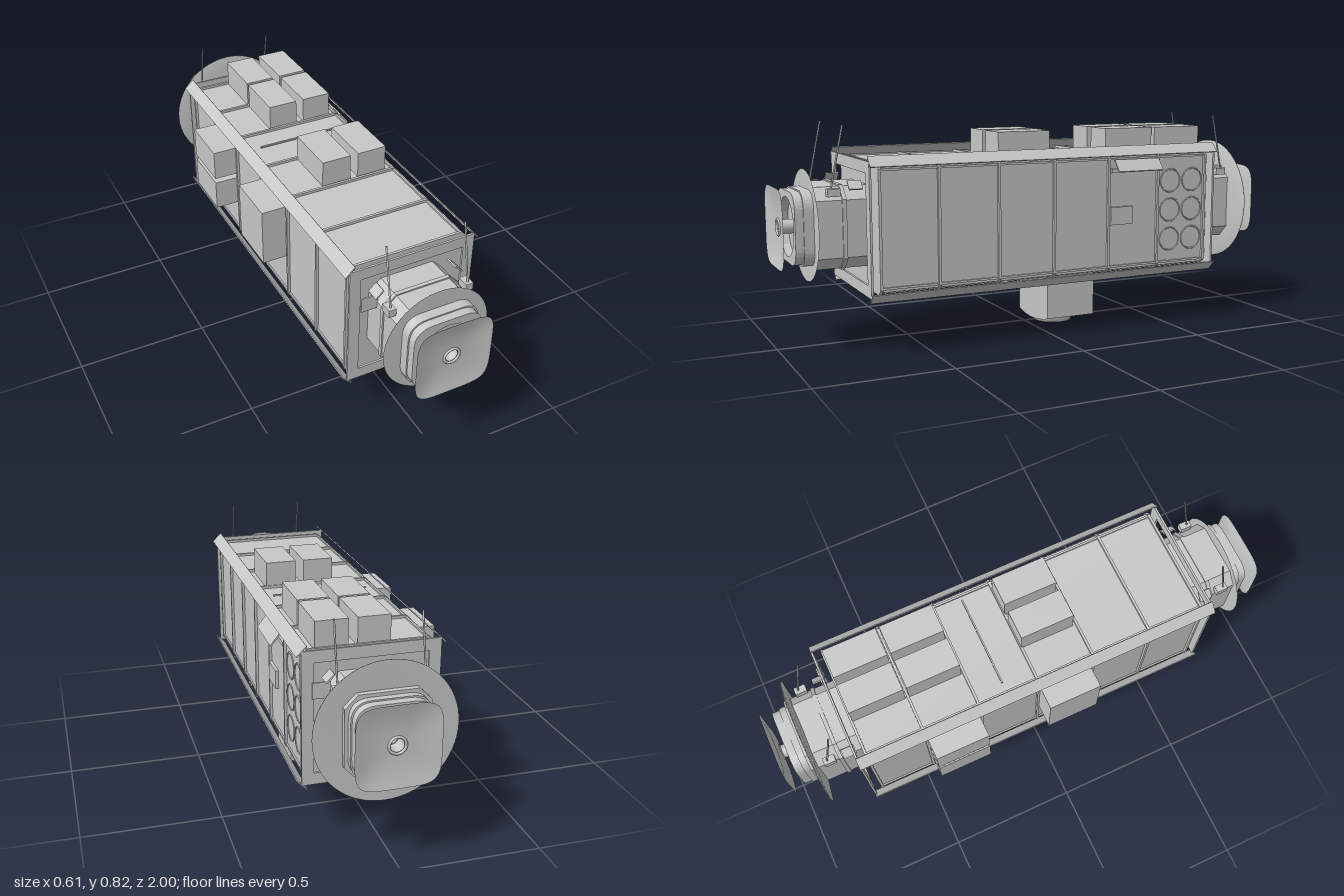
import * as THREE from 'three';

const CX = 0.021, CY = 0.456;   // long axis of the hull
const HALF = 0.243;             // half width of the end frames
const CORE = 0.226;             // half width of the recessed hull

export function createModel() {
  const hull = new THREE.MeshStandardMaterial({ color: 0xc8c8c8, side: THREE.DoubleSide });
  hull.name = 'hull grey';
  const root = new THREE.Group();

  function add(name, geo, x = 0, y = 0, z = 0, parent = root) {
    const m = new THREE.Mesh(geo, hull);
    m.name = name;
    m.position.set(x, y, z);
    parent.add(m);
    return m;
  }
  // box given by its limits
  function block(name, x0, x1, y0, y1, z0, z1, parent = root) {
    return add(name, new THREE.BoxGeometry(x1 - x0, y1 - y0, z1 - z0),
      (x0 + x1) / 2, (y0 + y1) / 2, (z0 + z1) / 2, parent);
  }
  // square outline with cut or rounded corners
  function square(h, c, round) {
    const s = new THREE.Shape();
    s.moveTo(h - c, -h);
    const corners = [[1, -1, h, c - h], [1, 1, h - c, h], [-1, 1, -h, h - c], [-1, -1, c - h, -h]];
    const starts = [[h - c, -h], [h, h - c], [c - h, h], [-h, c - h]];
    corners.forEach(([sx, sy, ex, ey], i) => {
      s.lineTo(...starts[i]);
      if (round) s.quadraticCurveTo(sx * h, sy * h, ex, ey);
      else s.lineTo(ex, ey);
    });
    s.closePath();
    return s;
  }
  const hole = (r) => new THREE.Path().absarc(0, 0, r, 0, Math.PI * 2, true);
  function prism(shape, cut, z0, z1) {
    if (cut) shape.holes.push(cut);
    return new THREE.ExtrudeGeometry(shape, { depth: z1 - z0, bevelEnabled: false, curveSegments: 8 })
      .translate(0, 0, z0);
  }

  // recessed hull with a passage through its axis
  add('hull', prism(square(CORE, 0.001, false), hole(0.023), -0.695, 0.685), CX, CY, 0);

  // slanted strips along the four long edges
  for (const sx of [-1, 1]) for (const sy of [-1, 1]) {
    const strip = add('edgeStrip', new THREE.BoxGeometry(0.05, 0.004, 1.45),
      CX + sx * 0.241, CY + sy * 0.2425, -0.005);
    strip.rotation.z = -sx * sy * Math.PI / 4;
  }

  // frames at each end and bulkheads between the bays
  for (const z of [-0.73, 0.712])
    add('endFrame', prism(square(HALF, 0.001, false), new THREE.Path(square(0.2, 0.001, false).getPoints().reverse()), z, z + 0.008), CX, CY, 0);
  const bays = [0.68, 0.458, 0.222, -0.007, -0.243, -0.467, -0.69];
  for (const z of bays)
    add('bayFrame', prism(square(0.236, 0.02, false), new THREE.Path(square(0.215, 0.001, false).getPoints().reverse()), z - 0.005, z + 0.005), CX, CY, 0);

  // rails beside the panels on every face
  for (let i = 0; i < 4; i++) {
    const face = new THREE.Group();
    face.name = 'faceRails';
    face.position.set(CX, CY, 0);
    face.rotation.z = i * Math.PI / 2;
    root.add(face);
    for (const s of [-1, 1])
      block('rail', s * 0.212 - 0.004, s * 0.212 + 0.004, CORE - 0.003, CORE + 0.006, -0.69, 0.68, face);
  }

  // cargo boxes on the roof
  for (const [z0, z1] of [[-0.687, -0.477], [-0.463, -0.253], [-0.008, 0.205]])
    for (const [x0, x1] of [[-0.057, 0.059], [0.09, 0.206]])
      block('roofBox', x0, x1, 0.675, 0.783, z0, z1);
  block('roofRod', -0.155, 0.21, 0.69, 0.696, -0.134, -0.128);

  // cargo boxes on the right flank
  block('sideBoxTall', -0.305, -0.2, 0.41, 0.638, -0.003, 0.205);
  block('sideBoxLower', -0.305, -0.2, 0.378, 0.498, -0.463, -0.253);
  block('sideBoxUpper', -0.305, -0.2, 0.518, 0.638, -0.463, -0.253);

  // left flank: equipment bay, awning and round tank ends
  const sideX = CX + CORE;
  block('equipmentHatch', sideX, sideX + 0.012, 0.41, 0.48, -0.35, -0.25);
  block('equipmentShelf', sideX, sideX + 0.01, 0.615, 0.63, -0.455, -0.255);
  const awning = add('awning', new THREE.BoxGeometry(0.055, 0.006, 0.2), 0.283, 0.643, -0.36);
  awning.rotation.z = -0.9;
  for (let i = 0; i < 2; i++) for (let j = 0; j < 3; j++) {
    const ring = add('tankRing', new THREE.TorusGeometry(0.046, 0.003, 6, 28),
      sideX + 0.001, 0.335 + j * 0.118, -0.53 - i * 0.103);
    ring.rotation.y = Math.PI / 2;
  }

  // belly module with a curved underside and a ring below it
  const belly = new THREE.Shape();
  belly.moveTo(0.172, 0.25);
  belly.lineTo(-0.085, 0.25);
  belly.lineTo(-0.085, 0.032);
  belly.quadraticCurveTo(0.035, 0.0, 0.172, 0.041);
  belly.closePath();
  add('bellyModule', prism(belly, null, -0.225, -0.02));
  const ringProfile = [[0.05, 0.03], [0.05, 0.006], [0.056, 0], [0.075, 0], [0.075, 0.03]];
  add('bellyRing', new THREE.LatheGeometry(ringProfile.map((p) => new THREE.Vector2(...p)), 32), 0.016, 0, -0.121);
  block('bellyBracket', 0.207, 0.24, 0.197, 0.235, 0.18, 0.21);
  add('bellyWhip', new THREE.TubeGeometry(new THREE.QuadraticBezierCurve3(
    new THREE.Vector3(0.166, 0.215, 0.23), new THREE.Vector3(0.16, 0.185, 0.225),
    new THREE.Vector3(0.157, 0.16, 0.205)), 6, 0.002, 5));

  // docking end, built facing +z; the rear one is turned round
  function dockingEnd(name, turn, collarEnd) {
    const end = new THREE.Group();
    end.name = name;
    end.position.set(CX, CY, 0);
    end.rotation.y = turn;
    root.add(end);
    add('collar', prism(square(0.148, 0.045, false), hole(0.023), 0.68, collarEnd), 0, 0, 0, end);
    add('collarBand', prism(square(0.153, 0.047, false), hole(0.14), 0.775, 0.79), 0, 0, 0, end);
    add('neck', prism(square(0.136, 0.07, true), hole(0.023), collarEnd, 0.925), 0, 0, 0, end);
    add('neckLip', prism(square(0.131, 0.07, true), hole(0.11), 0.925, 0.955), 0, 0, 0, end);
    const stem = add('stem', new THREE.CylinderGeometry(0.026, 0.026, 0.065, 24, 1, true), 0, 0, 0.9525, end);
    stem.rotation.x = Math.PI / 2;

    // hollow rounded-square plate
    const plate = new THREE.RingGeometry(0.023, 1, 64, 5);
    const p = plate.attributes.position;
    for (let i = 0; i < p.count; i++) {
      const x = p.getX(i), y = p.getY(i), r = Math.hypot(x, y);
      const t = (r - 0.023) / 0.977, c = x / r, s = y / r;
      const edge = 0.146 / Math.pow(Math.abs(c) ** 5 + Math.abs(s) ** 5, 0.2);
      const d = 0.023 * (1 - t) + edge * t;
      p.setXYZ(i, c * d, s * d, 1 - 0.016 * (1 - t * t));
    }
    plate.computeVertexNormals();
    add('dockingPlate', plate, 0, 0, 0, end);
    add('plateRing', new THREE.TorusGeometry(0.029, 0.005, 8, 32), 0, 0, 0.985, end);

    // whip antennas with their brackets
    for (const s of [-1, 1]) {
      const foot = new THREE.Vector3(s * 0.15, 0.135, 0.832), tip = new THREE.Vector3(s * 0.15, 0.366, 0.784);
      add('antenna', new THREE.TubeGeometry(new THREE.LineCurve3(foot, tip), 1, 0.0035, 6), 0, 0, 0, end);
      block('antennaFoot', s * 0.15 - 0.014, s * 0.15 + 0.014, 0.118, 0.146, 0.8, 0.845, end);
      const fin = add('antennaBrace', new THREE.BoxGeometry(0.04, 0.006, 0.05), s * 0.155, 0.155, 0.745, end);
      fin.rotation.z = -s * Math.PI / 4;
    }
    block('sidePlate', -0.208, -0.145, 0.077, 0.134, 0.735, 0.741, end);
    return end;
  }
  const front = dockingEnd('frontDock', 0, 0.887);
  const rear = dockingEnd('rearDock', Math.PI, 0.9);

  // round shields, the rear one wider and slightly coned
  add('frontShield', new THREE.RingGeometry(0.12, 0.205, 64), 0, 0, 0.889, front);
  const cone = [[0.13, 0.868], [0.2, 0.872], [0.25, 0.88], [0.25, 0.884], [0.13, 0.878]];
  add('rearShield', new THREE.LatheGeometry(cone.map((q) => new THREE.Vector2(...q)), 64)
    .rotateX(Math.PI / 2), 0, 0, 0, rear);

  return root;
}
